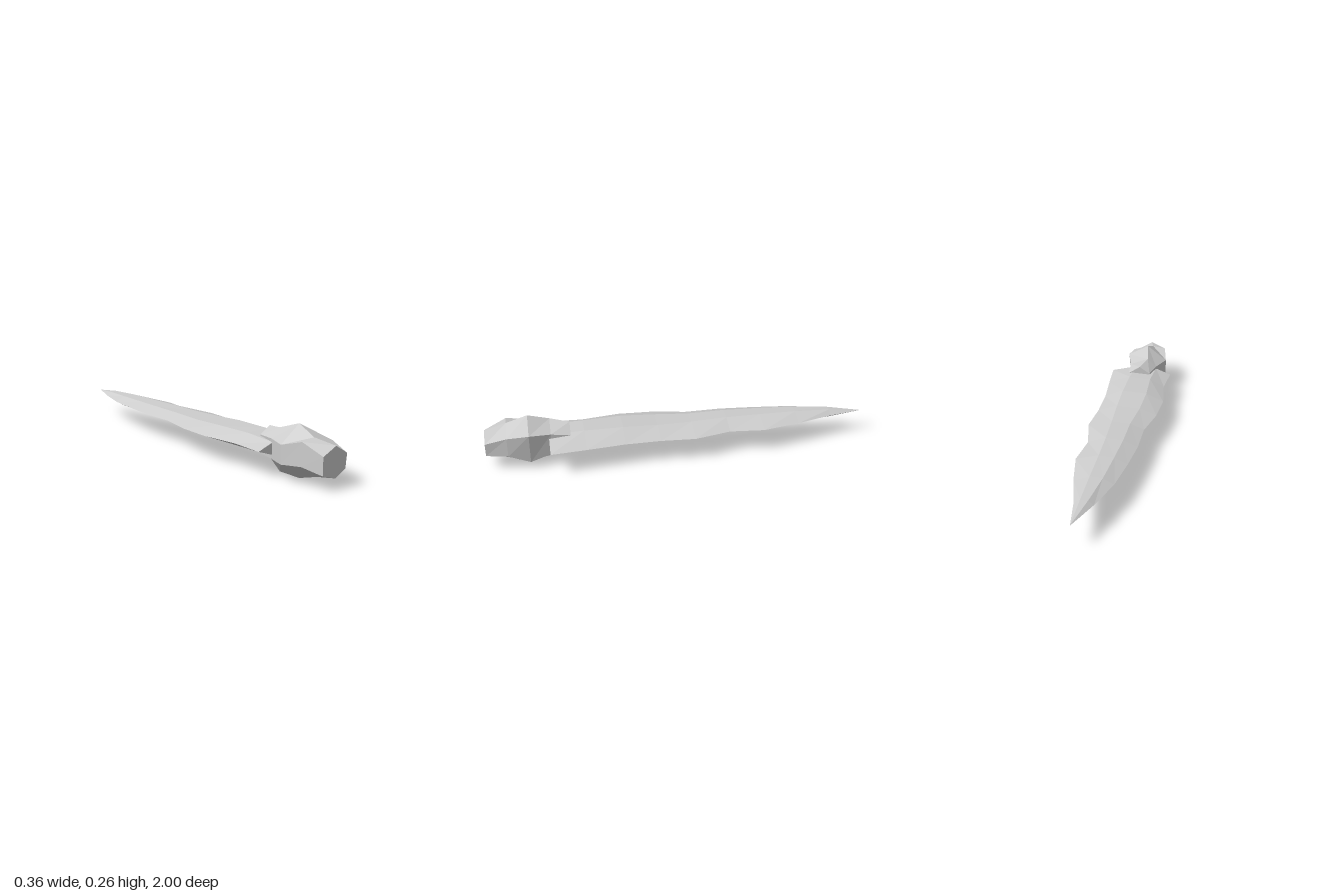
import * as THREE from 'three';

// Skin a list of { z, pts } rings (points clockwise seen from the front) and cap both ends.
function loft(rings, material, name) {
  const pos = [];
  const tri = (...vs) => vs.forEach(v => pos.push(v.x, v.y, v.z));
  const loops = rings.map(r => r.pts.map(([x, y]) => new THREE.Vector3(x, y, r.z)));
  const n = loops[0].length;
  for (let i = 0; i < loops.length - 1; i++) {
    for (let j = 0; j < n; j++) {
      const k = (j + 1) % n;
      const a = loops[i][j], b = loops[i][k], c = loops[i + 1][j], d = loops[i + 1][k];
      tri(a, b, c);
      tri(b, d, c);
    }
  }
  const first = loops[0], last = loops[loops.length - 1];
  for (let j = 1; j < n - 1; j++) {
    tri(first[0], first[j + 1], first[j]);
    tri(last[0], last[j], last[j + 1]);
  }
  const geo = new THREE.BufferGeometry();
  geo.setAttribute('position', new THREE.Float32BufferAttribute(pos, 3));
  geo.computeVertexNormals();
  const mesh = new THREE.Mesh(geo, material);
  mesh.name = name;
  return mesh;
}

export function createModel() {
  const group = new THREE.Group();
  group.name = 'stoneKnife';
  const stone = new THREE.MeshStandardMaterial({ color: 0xcccccc });
  stone.name = 'paleStone';

  // Blade stations: z, left edge x, right edge x, ridge x, top y, bottom y
  const stations = [
    [0.68, -0.165, 0.18, 0.04, 0.168, 0.1],
    [0.5, -0.155, 0.165, 0.045, 0.177, 0.088],
    [0.3, -0.183, 0.145, 0.045, 0.177, 0.09],
    [0.12, -0.175, 0.143, 0.04, 0.169, 0.096],
    [-0.06, -0.14, 0.155, 0.03, 0.165, 0.1],
    [-0.25, -0.143, 0.112, 0.02, 0.167, 0.1],
    [-0.43, -0.128, 0.13, 0.015, 0.165, 0.097],
    [-0.63, -0.104, 0.09, 0.012, 0.162, 0.1],
    [-0.82, -0.053, 0.04, 0.01, 0.153, 0.11],
    [-1, 0.009, 0.011, 0.01, 0.133, 0.131],
  ];
  const edgeY = 0.132;
  const blade = stations.map(([z, l, r, ridge, top, bot]) => ({
    z,
    pts: [
      [l * 0.48, top - (top - edgeY) * 0.12], [ridge, top], [r, edgeY],
      [ridge, bot], [l * 0.48, bot + (edgeY - bot) * 0.12], [l, edgeY],
    ],
  }));
  blade[blade.length - 1].pts = Array(6).fill([0.01, edgeY]);
  group.add(loft(blade, stone, 'blade'));

  // Chipped, bulging grip made of five uneven six-sided rings
  const grip = [
    { z: 1, pts: [[0, 0.203], [0.07, 0.16], [0.063, 0.09], [0, 0.055], [-0.077, 0.078], [-0.077, 0.165]] },
    { z: 0.89, pts: [[-0.025, 0.222], [0.09, 0.192], [0.088, 0.09], [0, 0.035], [-0.1, 0.098], [-0.098, 0.212]] },
    { z: 0.78, pts: [[-0.012, 0.263], [0.102, 0.202], [0.087, 0.045], [-0.002, 0.003], [-0.122, 0.088], [-0.122, 0.18]] },
    { z: 0.67, pts: [[-0.03, 0.225], [0.07, 0.185], [0.065, 0.07], [-0.022, 0.012], [-0.08, 0.085], [-0.08, 0.18]] },
    { z: 0.57, pts: [[0, 0.212], [0.065, 0.168], [0.06, 0.08], [0, 0.06], [-0.05, 0.08], [-0.058, 0.175]] },
  ];
  group.add(loft(grip, stone, 'grip'));

  return group;
}
